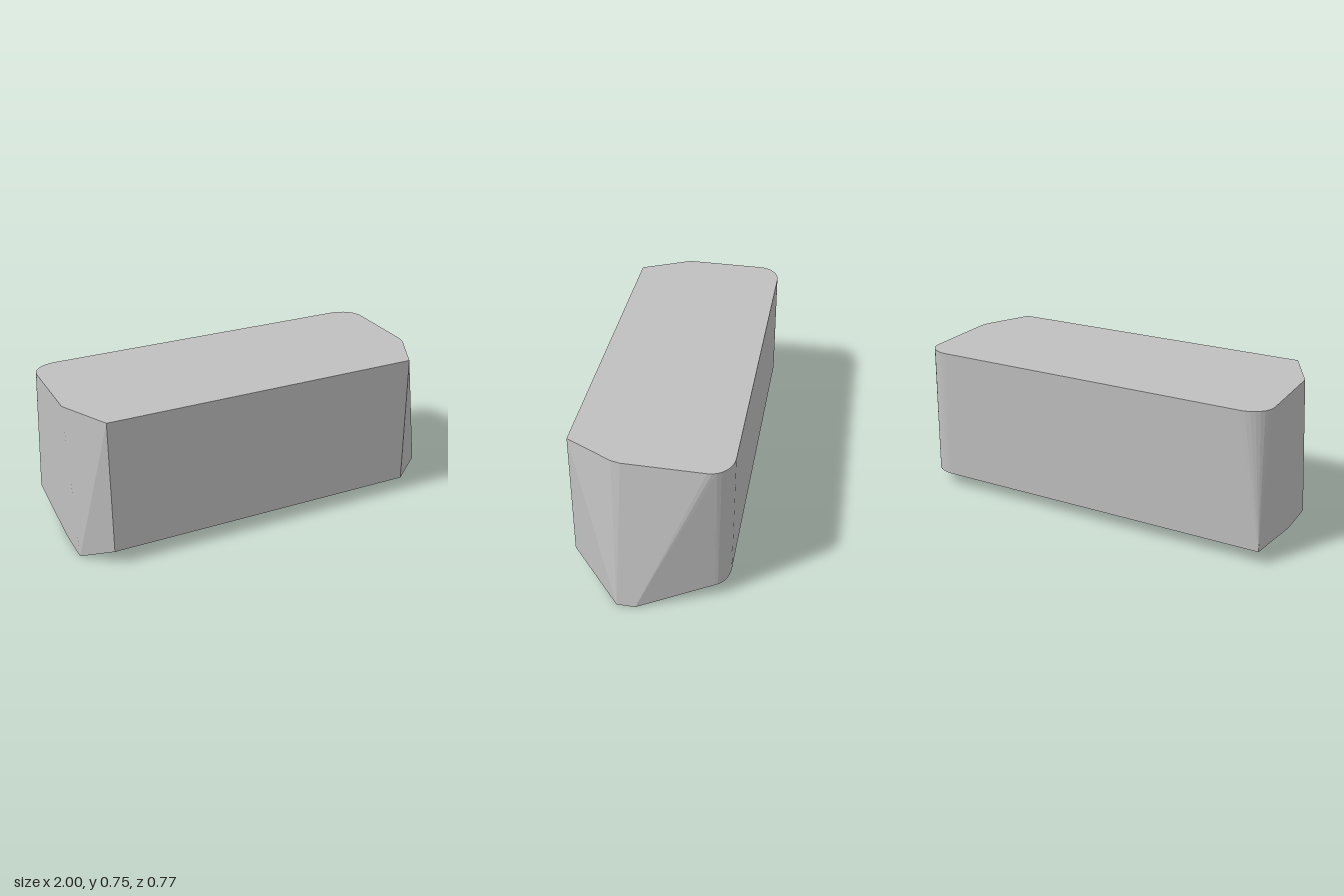
import * as THREE from 'three';
import { ConvexGeometry } from 'three/addons/geometries/ConvexGeometry.js';

const TOP = 0.745, LOW = 0.07, HALF = 0.385;

// Rounded rear corner at height y: from the end wall (x = edge) round to the back wall
function rearCorner(edge, side, y, radiusX = 0.125, radiusZ = 0.11, steps = 8) {
  const points = [];
  for (let i = 0; i <= steps; i++) {
    const a = (i / steps) * Math.PI / 2;
    points.push(new THREE.Vector3(
      edge - side * radiusX * (1 - Math.cos(a)),
      y,
      -HALF + radiusZ * (1 - Math.sin(a))
    ));
  }
  return points;
}

export function createModel() {
  const group = new THREE.Group();
  group.name = 'facetedBlock';
  const grey = new THREE.MeshStandardMaterial({ color: 0xc0c0c0 });
  grey.name = 'grey';

  const p = (x, y, z) => new THREE.Vector3(x, y, z);
  const corners = [
    // Flat top: chamfered in front, rounded behind
    p(-0.87, TOP, HALF), p(0.735, TOP, HALF),
    p(0.85, TOP, 0.155), p(0.86, TOP, 0.11), p(-0.995, TOP, 0.13),
    ...rearCorner(0.86, 1, TOP), ...rearCorner(-0.995, -1, TOP),
    // Lower rim
    p(-0.87, LOW, HALF), p(0.735, LOW, HALF), p(-1, LOW, -HALF),
    ...rearCorner(0.86, 1, LOW, 0.125, 0.08),
    // Keel that the block rests on
    p(1, 0, 0.03), p(1, 0, 0.12), p(-1, 0, 0.03), p(-1, 0, 0.245),
  ];

  const body = new THREE.Mesh(new ConvexGeometry(corners), grey);
  body.name = 'body';
  group.add(body);
  return group;
}
